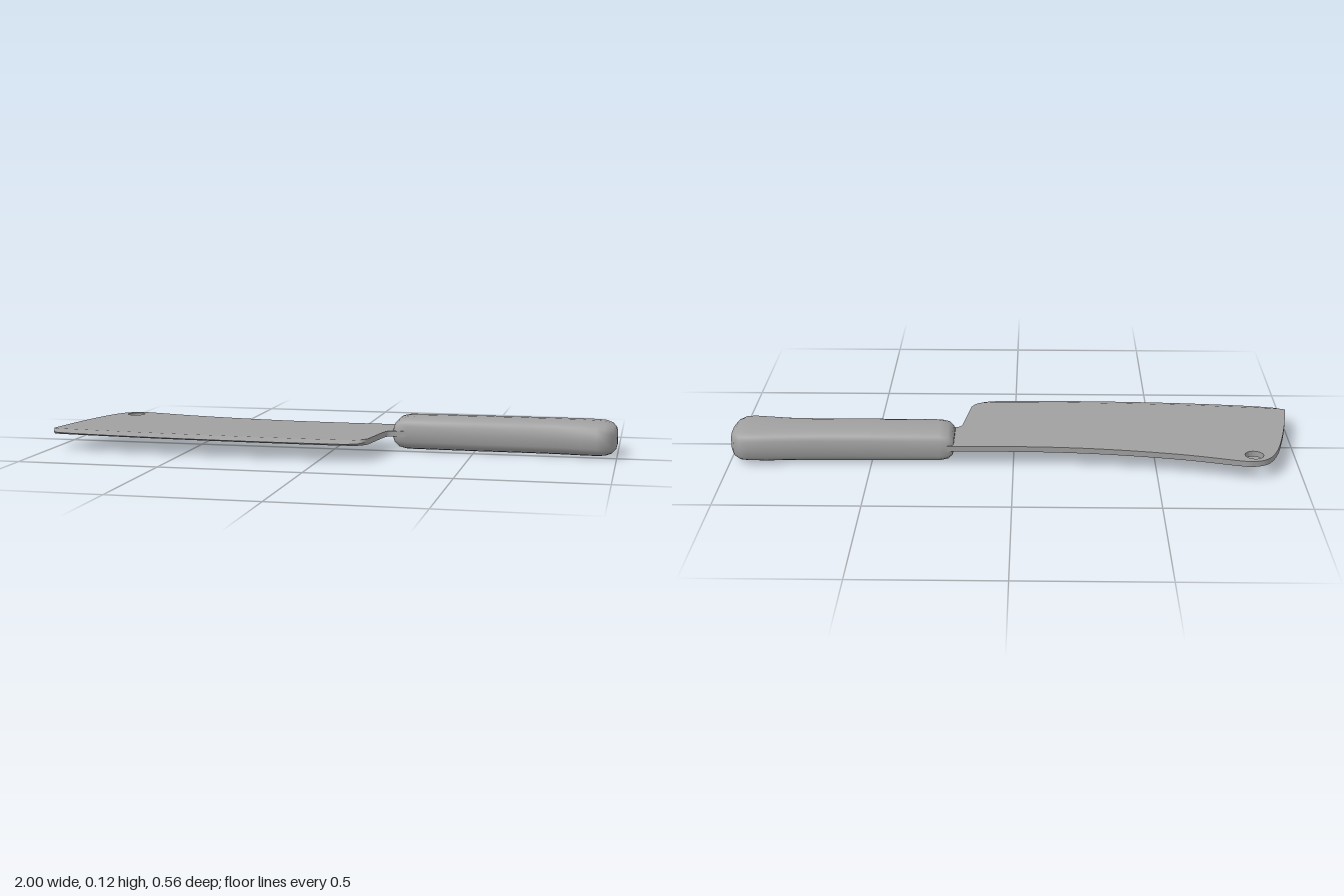
import * as THREE from 'three';
import { toCreasedNormals } from 'three/addons/utils/BufferGeometryUtils.js';

const MID = 0.062;   // height of the blade's middle plane
const HALF = 0.01;   // half blade thickness

// Smooth [x, z] curve through a few points
const curve = (pts, n) =>
  new THREE.SplineCurve(pts.map(([x, z]) => new THREE.Vector2(x, z))).getPoints(n);

function buildGeometry(positions, index) {
  const g = new THREE.BufferGeometry();
  g.setAttribute('position', new THREE.Float32BufferAttribute(positions, 3));
  g.setIndex(index);
  g.computeVertexNormals();
  return g;
}

// Where the flat of the blade meets the ground bevel, and the cutting edge itself
const shoulder = curve([[-1, 0.185], [-0.985, 0.193], [-0.93, 0.2], [-0.8, 0.211], [-0.6, 0.226],
  [-0.4, 0.235], [-0.2, 0.241], [0, 0.243], [0.09, 0.24], [0.138, 0.228], [0.161, 0.195]], 50);
const edge = curve([[-1, 0.185], [-0.985, 0.217], [-0.93, 0.234], [-0.8, 0.251], [-0.6, 0.267],
  [-0.4, 0.276], [-0.2, 0.28], [0, 0.278], [0.09, 0.272], [0.138, 0.249], [0.161, 0.195]], 50);

// Flat plate with hanging hole
function bladeGeometry() {
  const spine = curve([[0.26, -0.17], [0, -0.168], [-0.2, -0.175], [-0.4, -0.196],
    [-0.6, -0.23], [-0.78, -0.275], [-0.83, -0.28], [-0.88, -0.257], [-0.918, -0.19],
    [-0.95, -0.08], [-0.98, 0.06], [-1, 0.185]], 70);
  const heel = curve([[0.161, 0.195], [0.172, 0.12], [0.181, 0.06], [0.188, 0.022],
    [0.203, 0.003], [0.26, 0]], 20);
  const outline = [...spine, ...shoulder.slice(1), ...heel.slice(1)];
  const shape = new THREE.Shape(outline.map(p => new THREE.Vector2(p.x, -p.y)));
  shape.holes.push(new THREE.Path().absarc(-0.834, 0.226, 0.032, 0, Math.PI * 2, true));
  const g = new THREE.ExtrudeGeometry(shape,
    { depth: 2 * HALF, bevelEnabled: false, curveSegments: 24 });
  g.rotateX(-Math.PI / 2).translate(0, MID - HALF, 0);
  return toCreasedNormals(g, 0.5);
}

// One sloping face of the bevel; side is 1 for the top, -1 for the underside
function bevelGeometry(side) {
  const positions = [], index = [];
  shoulder.forEach((s, i) => {
    const e = edge[i];
    positions.push(s.x, MID + side * HALF, s.y, e.x, MID, e.y);
    if (i === 0) return;
    const a = 2 * i - 2, b = a + 1, c = a + 2, d = a + 3;
    if (side > 0) index.push(a, b, c, b, d, c);
    else index.push(a, c, b, b, c, d);
  });
  return buildGeometry(positions, index);
}

// Handle lofted through superellipse sections: [x, back z, front z, half height]
function handleGeometry() {
  const sections = [
    [0.21, -0.155, -0.015, 0.022], [0.215, -0.165, -0.008, 0.038], [0.23, -0.17, -0.002, 0.053],
    [0.26, -0.172, 0, 0.06], [0.5, -0.174, 0, 0.061], [0.7, -0.177, 0, 0.061],
    [0.79, -0.181, 0.004, 0.061], [0.87, -0.187, 0.018, 0.061], [0.93, -0.191, 0.031, 0.06],
    [0.96, -0.187, 0.027, 0.058], [0.983, -0.165, 0.008, 0.05], [0.996, -0.135, -0.028, 0.037],
    [1, -0.11, -0.055, 0.022],
  ];
  const sides = 20, power = 2 / 3.1;
  const positions = [], index = [];
  const round = v => Math.sign(v) * Math.abs(v) ** power;
  sections.forEach(([x, back, front, h], i) => {
    for (let j = 0; j < sides; j++) {
      const t = (j / sides) * Math.PI * 2;
      positions.push(x, MID - 0.001 + h * round(Math.sin(t)),
        (back + front) / 2 + (front - back) / 2 * round(Math.cos(t)));
      if (i === 0) continue;
      const k = (j + 1) % sides, p = (i - 1) * sides, q = i * sides;
      index.push(p + j, q + j, p + k, q + j, q + k, p + k);
    }
  });
  // Close both ends with a fan
  const last = (sections.length - 1) * sides, centre = last + sides;
  for (const [x, back, front] of [sections[0], sections.at(-1)])
    positions.push(x, MID - 0.001, (back + front) / 2);
  for (let j = 0; j < sides; j++) {
    const k = (j + 1) % sides;
    index.push(centre, j, k, centre + 1, last + k, last + j);
  }
  return buildGeometry(positions, index);
}

export function createModel() {
  const model = new THREE.Group();
  model.name = 'cleaver';
  const material = new THREE.MeshStandardMaterial({ color: 0xa0a0a0 });
  const add = (name, geometry) => {
    const mesh = new THREE.Mesh(geometry, material);
    mesh.name = name;
    model.add(mesh);
  };
  add('blade', bladeGeometry());
  add('upperBevel', bevelGeometry(1));
  add('lowerBevel', bevelGeometry(-1));
  add('handle', handleGeometry());
  return model;
}
